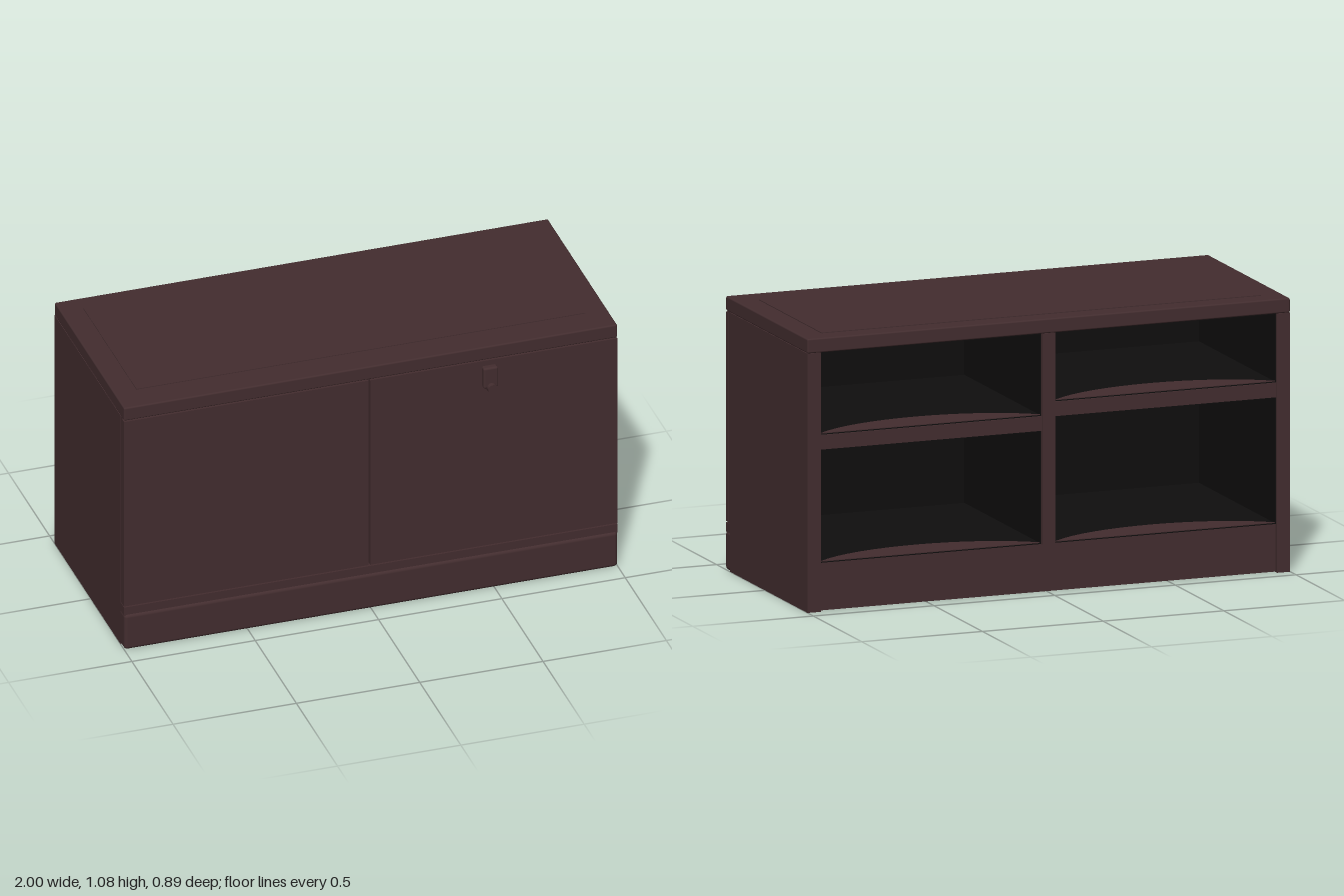
import * as THREE from 'three';
import { RoundedBoxGeometry } from 'three/addons/geometries/RoundedBoxGeometry.js';

export function createModel() {
  const wood = new THREE.MeshStandardMaterial({ color: 0x432d2f });
  wood.name = 'dark brown wood';
  const black = new THREE.MeshStandardMaterial({ color: 0x0f0e0e });
  black.name = 'black interior';

  const cabinet = new THREE.Group();
  cabinet.name = 'cabinet';

  const add = (name, geometry, material = wood) => {
    const mesh = new THREE.Mesh(geometry, material);
    mesh.name = name;
    cabinet.add(mesh);
    return mesh;
  };
  // Box given by its limits on each axis
  const box = (name, x0, x1, y0, y1, z0, z1, material = wood, radius = 0) => {
    const w = x1 - x0, h = y1 - y0, d = z1 - z0;
    const geometry = radius
      ? new RoundedBoxGeometry(w, h, d, 3, radius)
      : new THREE.BoxGeometry(w, h, d);
    add(name, geometry, material).position.set((x0 + x1) / 2, (y0 + y1) / 2, (z0 + z1) / 2);
  };

  const BACK = -0.44, FRONT = 0.405, INNER = 0.36, WALL = 0.055;
  const FLOOR = 0.19, CEILING = 1.02, HALF = 0.0275;

  // Carcass
  for (const s of [-1, 1]) {
    const x = [s, s * (1 - WALL)].sort((a, b) => a - b);
    box('sidePanel', x[0], x[1], 0, CEILING, BACK, INNER);
  }
  box('topBoard', -1, 1, CEILING, 1.077, BACK, FRONT, wood, 0.006);
  box('topInset', -0.91, 0.91, 1.07, 1.08, -0.36, 0.285);
  box('divider', -HALF, HALF, FLOOR, CEILING, BACK, INNER);
  box('base', -1 + WALL, 1 - WALL, 0.002, FLOOR, BACK + 0.015, INNER);

  // Front: plinth, rail, two doors
  box('plinth', -1, 1, 0, 0.155, 0.33, 0.412, wood, 0.014);
  box('bottomRail', -1, 1, 0.15, 0.187, INNER, FRONT);
  box('doorBacking', -0.998, 0.998, 0.18, CEILING, INNER, 0.385);
  box('rightDoor', -1, -0.009, 0.192, 1.016, 0.38, FRONT);
  box('leftDoor', -0.002, 1, 0.192, 1.016, 0.38, FRONT);

  // Latch on one door
  box('latchPlate', 0.45, 0.51, 0.905, 0.995, 0.4, 0.43, wood, 0.008);
  const knob = add('latchKnob', new THREE.CylinderGeometry(0.02, 0.02, 0.045, 16));
  knob.rotation.x = Math.PI / 2;
  knob.position.set(0.482, 0.908, 0.425);

  // Bare wood crescent along the open edge of a shelf
  const crescent = (x0, x1, y) => {
    const shape = new THREE.Shape();
    shape.moveTo(x0, BACK + 0.012);
    shape.bezierCurveTo(x0 + 0.22, -0.24, x1 - 0.22, -0.24, x1, BACK + 0.012);
    shape.closePath();
    const geometry = new THREE.ExtrudeGeometry(shape, { depth: 0.003, bevelEnabled: false, curveSegments: 16 });
    geometry.rotateX(Math.PI / 2);
    add('shelfEdgeWood', geometry).position.y = y + 0.007;
  };

  // Black plates lining one compartment
  const lining = (x0, x1, y0, y1) => {
    const t = 0.004, z0 = BACK + 0.012;
    box('liningFloor', x0, x1, y0, y0 + t, z0, INNER, black);
    box('liningCeiling', x0, x1, y1 - t, y1, z0, INNER, black);
    box('liningWall', x0, x0 + t, y0, y1, z0, INNER, black);
    box('liningWall', x1 - t, x1, y0, y1, z0, INNER, black);
    box('liningFront', x0, x1, y0, y1, INNER - t, INNER, black);
    crescent(x0 + t, x1 - t, y0);
  };

  // Two bays, each with one shelf at its own height
  for (const [x0, x1, shelf] of [[-1 + WALL, -HALF, 0.69], [HALF, 1 - WALL, 0.637]]) {
    box('shelf', x0, x1, shelf, shelf + 0.057, BACK + 0.005, INNER);
    lining(x0, x1, FLOOR, shelf);
    lining(x0, x1, shelf + 0.057, CEILING);
  }
  return cabinet;
}
